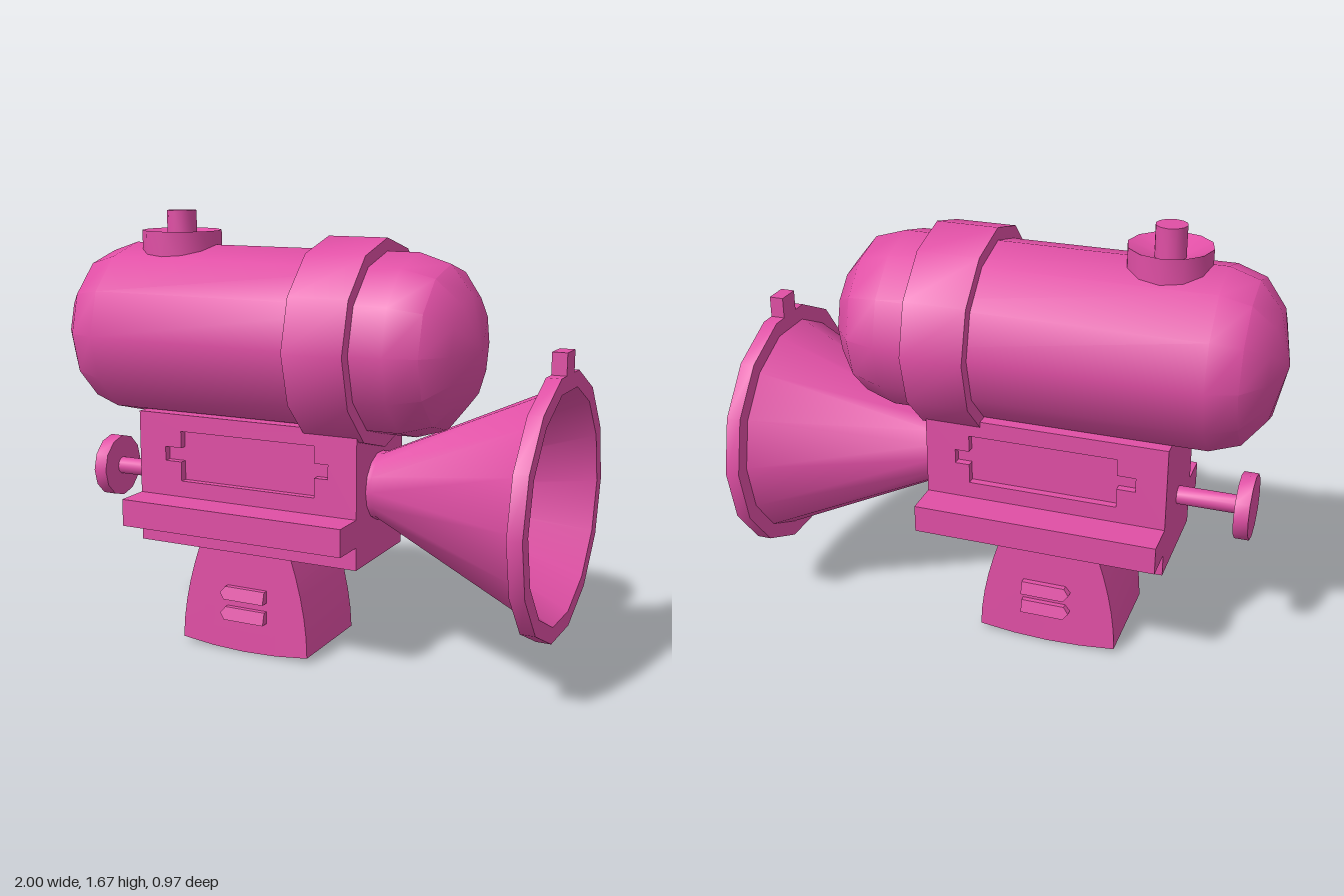
import * as THREE from 'three';
import { toCreasedNormals } from 'three/addons/utils/BufferGeometryUtils.js';

const material = new THREE.MeshStandardMaterial({ color: 0xe04fa5, side: THREE.DoubleSide });

export function createModel() {
  const model = new THREE.Group();

  const add = (name, geometry, x = 0, y = 0, z = 0) => {
    const mesh = new THREE.Mesh(geometry, material);
    mesh.name = name;
    mesh.position.set(x, y, z);
    model.add(mesh);
    return mesh;
  };
  // Box given by its limits
  const box = (name, x0, x1, y0, y1, z0, z1) =>
    add(name, new THREE.BoxGeometry(x1 - x0, y1 - y0, z1 - z0), (x0 + x1) / 2, (y0 + y1) / 2, (z0 + z1) / 2);
  // Turned part from [radius, height] pairs
  const turned = (points, sides) =>
    toCreasedNormals(new THREE.LatheGeometry(points.map(([r, h]) => new THREE.Vector2(r, h)), sides), 0.7);
  // Turned part lying along x
  const turnedX = (name, y, points, sides) => {
    add(name, turned(points, sides), 0, y).rotation.z = -Math.PI / 2;
  };
  const polygon = (Type, points) => new Type(points.map(([x, y]) => new THREE.Vector2(x, y)));

  // Tank with its collar and filler cap
  turnedX('tank', 1.21, [[0, -1], [0.2, -0.955], [0.3, -0.875], [0.337, -0.765],
    [0.337, 0.435], [0.3, 0.555], [0.2, 0.635], [0, 0.68]], 12);
  turnedX('tankCollar', 1.21, [[0.33, 0.075], [0.385, 0.075], [0.385, 0.31], [0.33, 0.31]], 12);
  add('fillerCap', turned([[0.153, 1.46], [0.153, 1.6], [0.057, 1.56], [0.057, 1.675], [0, 1.675]], 12), -0.557);

  // Body: core, side flange and recessed side plates
  const depth = 0.21, recess = 0.03;
  box('bodyCore', -0.635, 0.29, 0.4, 0.915, recess - depth, depth - recess);
  box('bodyFlange', -0.635, 0.29, 0.487, 0.592, -0.345, 0.345);
  box('bodyBase', -0.635, 0.29, 0.4, 0.487, -depth, depth);
  const plate = polygon(THREE.Shape, [[-0.635, 0.592], [0.29, 0.592], [0.29, 0.915], [-0.635, 0.915]]);
  plate.holes.push(polygon(THREE.Path, [[-0.45, 0.655], [-0.45, 0.73], [-0.52, 0.73], [-0.52, 0.785],
    [-0.45, 0.785], [-0.45, 0.85], [0.12, 0.85], [0.12, 0.785], [0.175, 0.785], [0.175, 0.73],
    [0.12, 0.73], [0.12, 0.655]]));
  const plateGeometry = new THREE.ExtrudeGeometry(plate, { depth: recess, bevelEnabled: false });
  add('leftPlate', plateGeometry, 0, 0, depth - recess).name = 'frontPlate';
  add('backPlate', plateGeometry, 0, 0, -depth);

  // Horn with rim and sight
  turnedX('horn', 0.677, [[0.13, 0.28], [0.13, 0.31], [0.425, 0.945], [0.485, 0.945], [0.485, 1],
    [0.425, 1], [0.06, 0.3], [0, 0.3]], 14);
  box('hornSight', 0.945, 1, 1.12, 1.23, -0.047, 0.047);

  // Plunger
  turnedX('plungerShaft', 0.63, [[0.035, -0.88], [0.035, -0.62]], 12);
  turnedX('plungerKnob', 0.63, [[0, -0.92], [0.125, -0.92], [0.125, -0.865], [0, -0.865]], 12);

  // Grip flaring towards a slightly bowed bottom
  const grip = new THREE.BoxGeometry(2, 1, 2, 4, 5, 1);
  const p = grip.attributes.position;
  for (let i = 0; i < p.count; i++) {
    const x = p.getX(i), t = p.getY(i) + 0.5;
    const bottom = 0.02 * x * x;
    p.setXYZ(i, x * (0.272 - 0.077 * t ** 1.8), bottom + t * (0.41 - bottom), p.getZ(i) * (0.2 - 0.01 * t));
  }
  add('grip', toCreasedNormals(grip, 0.6), -0.1875);

  // Ribs on both sides of the grip, overhanging at their lower edge
  const rib = polygon(THREE.Shape, [[-0.26, 0], [-0.09, 0], [-0.09, 0.048], [-0.26, 0.048], [-0.28, 0.024]]);
  for (const y of [0.13, 0.212]) {
    const geometry = new THREE.ExtrudeGeometry(rib, { depth: 1, bevelEnabled: false });
    const q = geometry.attributes.position;
    for (let i = 0; i < q.count; i++) {
      q.setZ(i, (q.getZ(i) * 2 - 1) * (0.23 - 0.3 * q.getY(i)));
    }
    geometry.computeVertexNormals();
    add('gripRib', geometry, 0, y);
  }

  return model;
}
